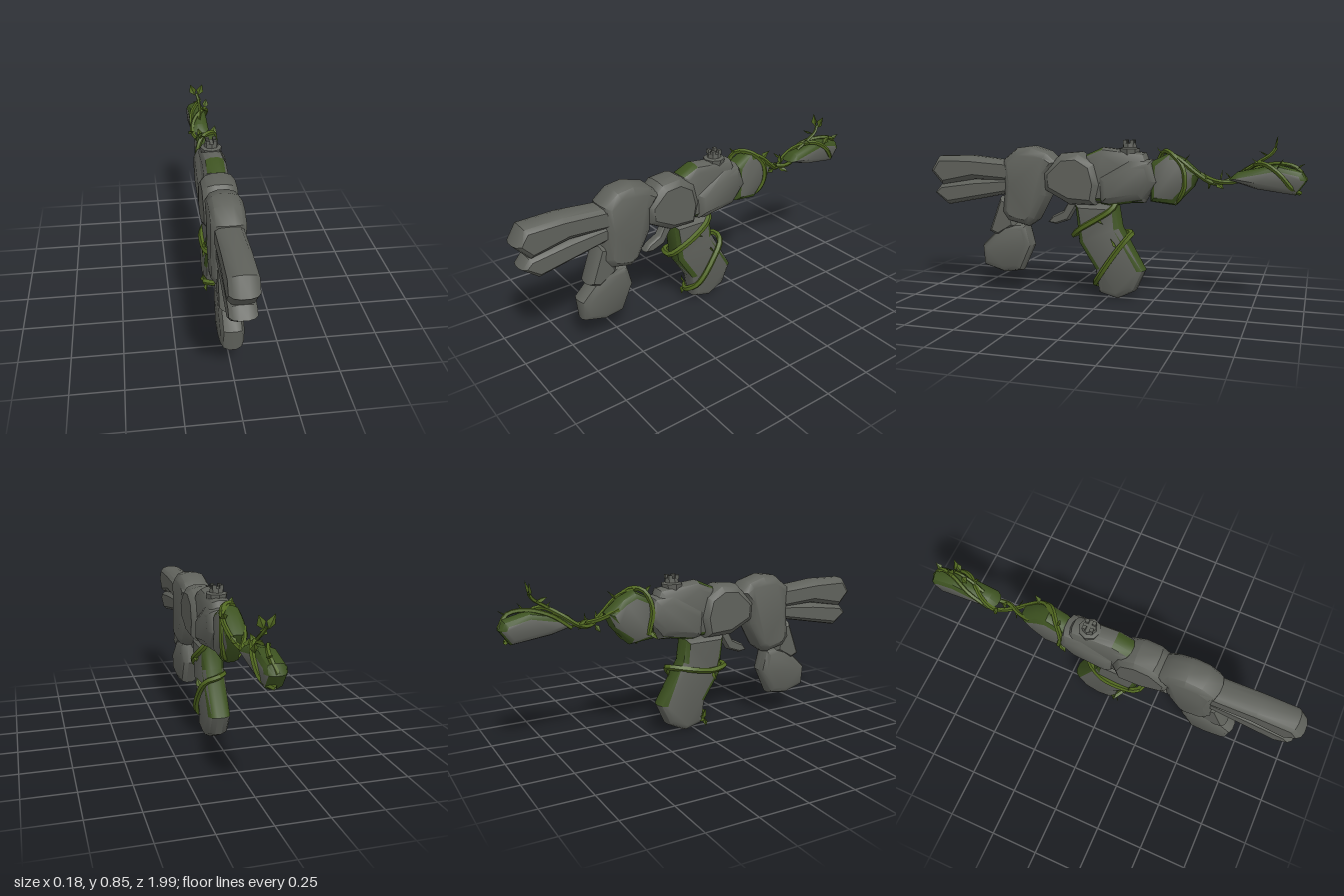
import * as THREE from 'three';
import { toCreasedNormals } from 'three/addons/utils/BufferGeometryUtils.js';

const stone = new THREE.MeshStandardMaterial({ color: 0x5f615b });
stone.name = 'stone';
const moss = new THREE.MeshStandardMaterial({ color: 0x3d5220 });
moss.name = 'moss';
const vine = new THREE.MeshStandardMaterial({ color: 0x50671f, side: THREE.DoubleSide });
vine.name = 'vine';

// A rounded boulder: a side outline of [z, y] points, bevelled in steps to half width w.
// mossy(normal, centre) picks the faces that are overgrown.
function boulder(name, outline, w, inset = 0.04, mossy = () => false) {
  let pts = outline.map(([z, y]) => new THREE.Vector2(-z, y));
  if (THREE.ShapeUtils.area(pts) < 0) pts.reverse();
  const n = pts.length;
  const normals = pts.map((p, i) => {
    const d = pts[(i + 1) % n].clone().sub(p).normalize()
      .add(p.clone().sub(pts[(i + n - 1) % n]).normalize()).normalize();
    return new THREE.Vector2(d.y, -d.x);
  });
  const steps = [[-1, 1], [-0.75, 0.3], [-0.3, 0], [0.3, 0], [0.75, 0.3], [1, 1]];
  const rings = steps.map(([x, s]) => pts.map((p, i) => {
    const q = p.clone().addScaledVector(normals[i], -inset * s);
    return new THREE.Vector3(x * w, q.y, -q.x);
  }));
  const tris = [];
  for (let k = 0; k < rings.length - 1; k++) {
    for (let i = 0; i < n; i++) {
      const j = (i + 1) % n, a = rings[k], b = rings[k + 1];
      tris.push([a[i], a[j], b[j]], [a[i], b[j], b[i]]);
    }
  }
  const first = rings[0], last = rings[rings.length - 1];
  for (const [a, b, c] of THREE.ShapeUtils.triangulateShape(pts, [])) {
    tris.push([last[a], last[b], last[c]], [first[a], first[c], first[b]]);
  }
  const parts = [[], []];
  for (const t of tris) {
    const tri = new THREE.Triangle(...t);
    const m = mossy(tri.getNormal(new THREE.Vector3()), tri.getMidpoint(new THREE.Vector3()));
    parts[m ? 1 : 0].push(...t);
  }
  const geo = toCreasedNormals(new THREE.BufferGeometry().setFromPoints([...parts[0], ...parts[1]]), 0.65);
  geo.addGroup(0, parts[0].length, 0);
  geo.addGroup(parts[0].length, parts[1].length, 1);
  const mesh = new THREE.Mesh(geo, [stone, moss]);
  mesh.name = name;
  return mesh;
}

const vec = (p) => new THREE.Vector3(...p);

// A vine stem through [x, y, z] points
function stem(name, points, radius) {
  const curve = new THREE.CatmullRomCurve3(points.map(vec));
  const geo = new THREE.TubeGeometry(curve, points.length * 3, radius, 5);
  const mesh = new THREE.Mesh(toCreasedNormals(geo, 0.5), vine);
  mesh.name = name;
  return mesh;
}

// A folded, pointed leaf growing from a point along a direction
function leaf(at, dir, size) {
  const geo = new THREE.BufferGeometry();
  const p = [[0, 0, 0], [0.3, 0.4, 0.12], [0, 1, 0.1], [-0.3, 0.4, 0.12], [0, 0.4, 0]].map(vec);
  geo.setFromPoints([0, 1, 4, 1, 2, 4, 4, 2, 3, 0, 4, 3].map((i) => p[i]));
  geo.computeVertexNormals();
  const mesh = new THREE.Mesh(geo, vine);
  mesh.name = 'leaf';
  mesh.position.set(...at);
  mesh.quaternion.setFromUnitVectors(new THREE.Vector3(0, 1, 0), vec(dir).normalize());
  mesh.scale.setScalar(size);
  return mesh;
}

export function createModel() {
  const model = new THREE.Group();
  model.name = 'overgrownStoneLauncher';

  // Barrels
  model.add(boulder('upperBarrel', [[1, 0.65], [0.95, 0.73], [0.76, 0.735], [0.52, 0.71],
    [0.52, 0.6], [0.74, 0.605], [0.93, 0.57]], 0.065, 0.03));
  model.add(boulder('lowerBarrel', [[0.98, 0.53], [0.9, 0.465], [0.52, 0.54],
    [0.52, 0.62], [0.74, 0.61], [0.94, 0.58]], 0.06, 0.025));

  // Body boulders, front to back
  model.add(boulder('frontBody', [[0.56, 0.58], [0.565, 0.72], [0.49, 0.78], [0.4, 0.792], [0.31, 0.765],
    [0.25, 0.71], [0.3, 0.64], [0.31, 0.53], [0.38, 0.4], [0.43, 0.365], [0.54, 0.39], [0.575, 0.44]], 0.08));
  model.add(boulder('frontFin', [[0.59, 0.52], [0.66, 0.33], [0.6, 0.3], [0.5, 0.36], [0.52, 0.5]], 0.055, 0.025));
  model.add(boulder('middleBody', [[0.34, 0.66], [0.245, 0.755], [0.14, 0.765], [0.05, 0.71],
    [0.02, 0.6], [0.05, 0.49], [0.2, 0.49], [0.33, 0.56]], 0.085));
  model.add(boulder('coreBody', [[0.11, 0.75], [0.02, 0.79], [-0.2, 0.765], [-0.26, 0.62], [-0.2, 0.51],
    [0.1, 0.5]], 0.06, 0.04, (n, c) => n.y < -0.6 || (n.y > 0.7 && c.z > 0.04)));
  model.add(boulder('rearBody', [[0.04, 0.64], [-0.13, 0.74], [-0.24, 0.73], [-0.28, 0.62],
    [-0.2, 0.52], [-0.02, 0.49], [0.03, 0.5]], 0.08, 0.05, (n) => n.y < -0.75));

  // Mossy stock in two pieces
  model.add(boulder('stockFront', [[-0.23, 0.72], [-0.33, 0.77], [-0.4, 0.74], [-0.48, 0.67], [-0.45, 0.6],
    [-0.36, 0.505], [-0.23, 0.52]], 0.055, 0.035, (n) => Math.abs(n.x) < 0.85 || (n.x < 0 && n.y > 0.1)));
  model.add(boulder('stockRear', [[-0.62, 0.64], [-0.66, 0.68], [-0.85, 0.72], [-0.97, 0.69], [-0.99, 0.645],
    [-0.94, 0.575], [-0.75, 0.6]], 0.05, 0.03, (n) => n.y > 0.15 || n.z < -0.6));

  // Grips and trigger
  model.add(boulder('frontGrip', [[0.57, 0.38], [0.44, 0.375], [0.41, 0.26], [0.475, 0.12], [0.58, 0.105],
    [0.695, 0.14], [0.705, 0.25]], 0.056));
  model.add(boulder('rearGrip', [[0.17, 0.5], [-0.06, 0.5], [-0.08, 0.38], [-0.205, 0.16], [-0.155, 0.05],
    [-0.06, 0.003], [0.04, 0.03], [0.06, 0.15], [0.15, 0.29]], 0.058, 0.035,
  (n, c) => (n.z < -0.45 && c.y > 0.15) || (n.z > 0.4 && c.y > 0.2)));
  model.add(boulder('trigger', [[0.325, 0.39], [0.28, 0.38], [0.21, 0.405], [0.16, 0.49], [0.2, 0.52],
    [0.24, 0.455], [0.3, 0.425]], 0.025, 0.01));

  // Small notched sight
  const sight = new THREE.Group();
  sight.name = 'sight';
  const profile = [[0.05, 0.75], [0.055, 0.785], [0.036, 0.79], [0.034, 0.812], [0, 0.812]];
  const base = new THREE.LatheGeometry(profile.map((p) => new THREE.Vector2(...p)), 8);
  const baseMesh = new THREE.Mesh(toCreasedNormals(base, 0.5), stone);
  baseMesh.name = 'sightBase';
  baseMesh.position.z = -0.115;
  sight.add(baseMesh);
  for (let i = 0; i < 4; i++) {
    const a = Math.PI / 4 + i * Math.PI / 2;
    const prong = new THREE.Mesh(new THREE.BoxGeometry(0.018, 0.022, 0.018), stone);
    prong.name = 'sightProng';
    prong.position.set(0.026 * Math.cos(a), 0.817, -0.115 + 0.026 * Math.sin(a));
    sight.add(prong);
  }
  model.add(sight);

  // Vines
  model.add(stem('gripVine', [[-0.06, 0.06, 0.03], [0, 0.07, 0.065], [0.065, 0.12, 0.03], [0.078, 0.25, -0.06],
    [0.055, 0.33, -0.12], [0, 0.35, -0.13], [-0.06, 0.34, -0.04], [-0.065, 0.32, 0.08], [-0.045, 0.33, 0.17],
    [0.02, 0.33, 0.18], [0.058, 0.37, 0.13], [0.068, 0.43, 0.03], [0.055, 0.48, -0.04], [0.02, 0.53, -0.06]], 0.016));
  model.add(stem('stockLoopVine', [[-0.055, 0.55, -0.27], [-0.06, 0.68, -0.25], [-0.03, 0.765, -0.28],
    [0.03, 0.77, -0.33], [0.056, 0.7, -0.4], [0.055, 0.6, -0.41], [0.03, 0.53, -0.37], [-0.03, 0.52, -0.32]], 0.013));
  model.add(stem('stockLinkVine', [[0, 0.77, -0.31], [0.05, 0.74, -0.38], [0.035, 0.66, -0.48], [0, 0.62, -0.55],
    [-0.045, 0.64, -0.63], [-0.03, 0.69, -0.7], [0.035, 0.725, -0.78], [0.06, 0.68, -0.86],
    [0.045, 0.61, -0.92], [0, 0.585, -0.96]], 0.012));
  model.add(stem('stockTwistVine', [[-0.045, 0.69, -0.42], [-0.02, 0.65, -0.5], [0.015, 0.63, -0.57],
    [0.01, 0.63, -0.64], [0, 0.65, -0.7]], 0.012));
  model.add(stem('stockTopVine', [[-0.045, 0.63, -0.66], [-0.04, 0.7, -0.76], [0, 0.725, -0.86],
    [0.02, 0.71, -0.94], [0, 0.65, -0.985]], 0.011));
  model.add(stem('sprout', [[0, 0.69, -0.7], [0.01, 0.73, -0.76], [0.01, 0.77, -0.82], [0, 0.8, -0.84]], 0.009));

  // Leaves: position, direction, length
  const leaves = [
    [[0.01, 0.79, -0.84], [0.4, 1, -0.2], 0.07], [[-0.01, 0.79, -0.84], [-0.4, 1, -0.2], 0.07],
    [[0, 0.76, -0.81], [-0.5, 0.5, 0.9], 0.06], [[0.02, 0.72, -0.77], [0.2, 0.6, 0.7], 0.05],
    [[0.05, 0.7, -0.85], [0.2, 0.8, -0.6], 0.06], [[0.02, 0.7, -0.94], [0.2, 0.4, -0.7], 0.05],
    [[-0.045, 0.64, -0.63], [-0.4, 0.5, 0.5], 0.06], [[0, 0.62, -0.56], [0.5, -0.4, -0.6], 0.06],
    [[0, 0.63, -0.58], [-0.3, 0.9, -0.2], 0.06], [[0.02, 0.64, -0.52], [0.5, 0.7, 0.2], 0.05],
    [[0, 0.62, -0.53], [-0.6, -0.5, 0.2], 0.05], [[0.04, 0.72, -0.4], [0.3, 0.6, -0.6], 0.06],
    [[-0.055, 0.57, -0.26], [-0.3, -0.6, 0.5], 0.06], [[-0.02, 0.76, -0.28], [-0.3, 0.5, 0.4], 0.05],
    [[-0.06, 0.06, 0.03], [-0.1, 1, 0.2], 0.06], [[-0.05, 0.06, 0.05], [0.1, -1, 0.3], 0.05],
    [[-0.065, 0.32, 0.09], [-0.2, -0.8, 0.3], 0.06], [[-0.06, 0.33, 0.12], [-0.1, 0.9, 0.1], 0.05],
    [[0.07, 0.28, -0.07], [0.2, 0.8, 0.4], 0.06], [[0.065, 0.42, 0.05], [0.1, -0.4, -0.7], 0.05],
  ];
  const foliage = new THREE.Group();
  foliage.name = 'leaves';
  for (const l of leaves) foliage.add(leaf(...l));
  model.add(foliage);

  return model;
}
